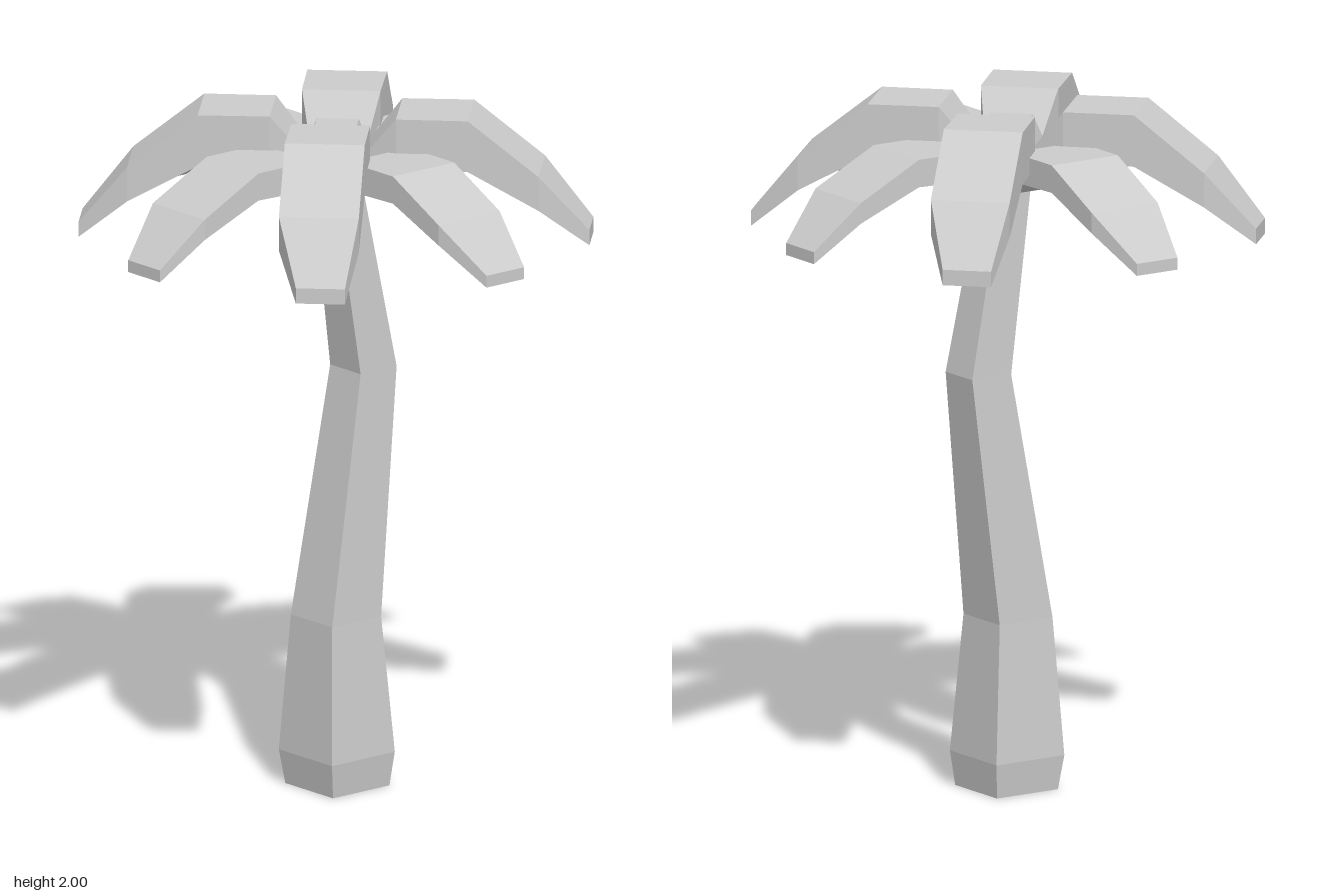
import * as THREE from 'three';

const material = new THREE.MeshStandardMaterial({ color: 0xcccccc, flatShading: true });

// Joins a list of four-cornered rings into a closed, faceted solid.
function loft(rings) {
  const pos = [];
  const quad = (a, b, c, d) => [a, b, c, a, c, d].forEach((p) => pos.push(...p));
  for (let s = 0; s < rings.length - 1; s++) {
    for (let i = 0; i < 4; i++) {
      const j = (i + 1) % 4;
      quad(rings[s][i], rings[s][j], rings[s + 1][j], rings[s + 1][i]);
    }
  }
  const [a, b, c, d] = rings[0];
  quad(d, c, b, a);
  quad(...rings[rings.length - 1]);
  const geometry = new THREE.BufferGeometry();
  geometry.setAttribute('position', new THREE.Float32BufferAttribute(pos, 3));
  geometry.computeVertexNormals();
  return geometry;
}

function addMesh(parent, name, geometry) {
  const mesh = new THREE.Mesh(geometry, material);
  mesh.name = name;
  parent.add(mesh);
  return mesh;
}

// Square ring for the trunk: height, half width, z of the centre.
const squareRing = ([y, h, z]) => [[-h, y, z + h], [h, y, z + h], [h, y, z - h], [-h, y, z - h]];

// Diamond ring for the crown core: height, corner radius.
const diamondRing = ([y, r]) => [[-r, y, 0], [0, y, r], [r, y, 0], [0, y, -r]];

// Upright leaf ring: distance out, half width, underside, top, sideways shift.
const leafRing = ([z, h, low, high, shift = 0]) =>
  [[shift - h, low, z], [shift + h, low, z], [shift + h, high, z], [shift - h, high, z]];

export function createModel() {
  const tree = new THREE.Group();
  tree.name = 'palmTree';

  // Bent, tapering trunk
  addMesh(tree, 'trunk', loft([
    [0, 0.105, -0.005], [0.1, 0.117, -0.003], [0.5, 0.091, 0],
    [1.22, 0.067, -0.102], [1.8, 0.05, 0],
  ].map(squareRing)));

  // Small core where the leaves meet
  addMesh(tree, 'crownCore', loft([[1.75, 0.07], [1.88, 0.12], [1.95, 0.085]].map(diamondRing)));

  // High leaves on the diagonals, low leaves on the axes
  const highLeaf = loft([
    [0.083, 0.083, 1.77, 1.88], [0.18, 0.112, 1.85, 2], [0.385, 0.114, 1.85, 2],
    [0.587, 0.114, 1.74, 1.84], [0.727, 0.07, 1.625, 1.67, 0.016],
  ].map(leafRing));
  const lowLeaf = loft([
    [0.083, 0.083, 1.75, 1.8], [0.185, 0.114, 1.815, 1.9], [0.385, 0.114, 1.82, 1.9],
    [0.585, 0.114, 1.74, 1.8], [0.727, 0.07, 1.635, 1.67, 0.015],
  ].map(leafRing));

  const leaves = new THREE.Group();
  leaves.name = 'leaves';
  tree.add(leaves);
  for (let i = 0; i < 8; i++) {
    const high = i % 2 === 1;
    const leaf = addMesh(leaves, high ? 'highLeaf' : 'lowLeaf', high ? highLeaf : lowLeaf);
    leaf.rotation.y = (i * Math.PI) / 4;
  }
  return tree;
}
